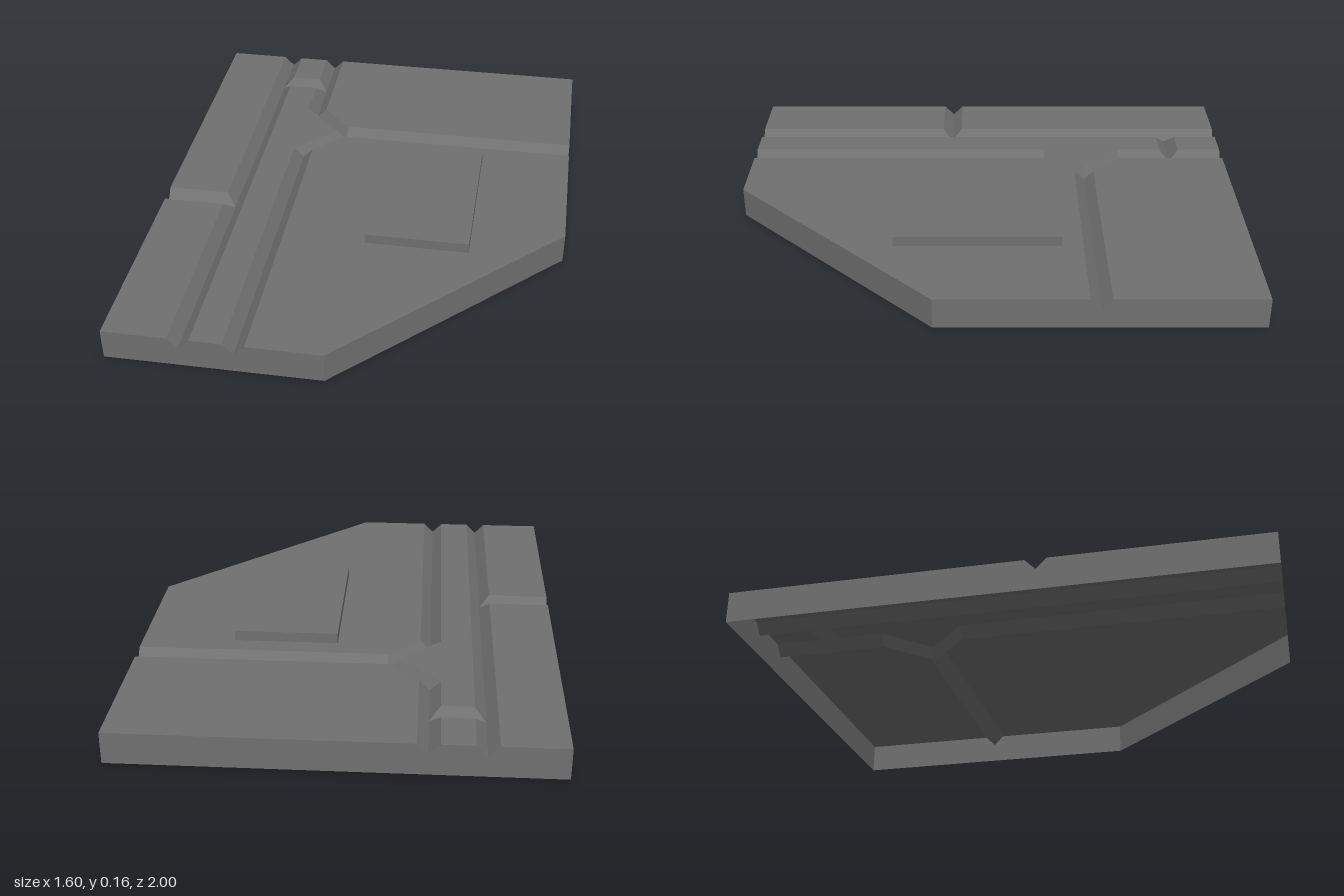
import * as THREE from 'three';

const TOP = 0.12, VALLEY = 0.08;

// Each deck section runs counter-clockwise seen from above.
// rim: [x, z, valleyX, valleyZ] points beside a groove; edge: remaining points on the outer border.
const SECTIONS = {
  leftBackDeck: {
    rim: [[-0.8, 0.12, -0.8, 0.16], [-0.56, 0.12, -0.52, 0.16], [-0.56, -1, -0.52, -1]],
    edge: [[-0.8, -1]],
  },
  leftFrontDeck: {
    rim: [[-0.56, 1, -0.52, 1], [-0.56, 0.2, -0.52, 0.16], [-0.8, 0.2, -0.8, 0.16]],
    edge: [[-0.8, 1]],
  },
  middleBackDeck: {
    rim: [[-0.48, -1, -0.52, -1], [-0.48, -0.82, -0.52, -0.78],
      [-0.36, -0.82, -0.32, -0.78], [-0.36, -1, -0.32, -1]],
    edge: [],
  },
  middleFrontDeck: {
    rim: [[-0.36, 1, -0.32, 1], [-0.36, -0.24, -0.32, -0.24], [-0.2, -0.4, -0.16, -0.4],
      [-0.36, -0.56, -0.32, -0.56], [-0.36, -0.74, -0.32, -0.78],
      [-0.48, -0.74, -0.52, -0.78], [-0.48, 1, -0.52, 1]],
    edge: [],
  },
  rightBackDeck: {
    rim: [[-0.28, -1, -0.32, -1], [-0.28, -0.56, -0.32, -0.56],
      [-0.16, -0.44, -0.16, -0.4], [0.8, -0.44, 0.8, -0.4]],
    edge: [[0.8, -1]],
  },
  rightFrontDeck: {
    rim: [[0.8, -0.36, 0.8, -0.4], [-0.16, -0.36, -0.16, -0.4],
      [-0.28, -0.24, -0.32, -0.24], [-0.28, 1, -0.32, 1]],
    edge: [[0, 1], [0.8, 0.2]],
  },
};

// Flat top, sloping groove sides and outer walls of one section; open underneath.
function sectionGeometry({ rim, edge }) {
  const positions = [];
  const tri = (...points) => points.forEach((p) => positions.push(...p));
  const strip = (upper, lower) => {
    for (let i = 0; i < upper.length - 1; i++) {
      tri(upper[i], lower[i], lower[i + 1]);
      tri(upper[i], lower[i + 1], upper[i + 1]);
    }
  };

  const rimTop = rim.map(([x, z]) => [x, TOP, z]);
  const valley = rim.map(([, , x, z]) => [x, VALLEY, z]);
  const edgeTop = edge.map(([x, z]) => [x, TOP, z]);

  // flat top
  const outline = [...rimTop, ...edgeTop];
  const flat = outline.map(([x, , z]) => new THREE.Vector2(x, -z));
  for (const face of THREE.ShapeUtils.triangulateShape(flat, [])) {
    tri(...face.map((i) => outline[i]));
  }

  // groove sides
  strip(rimTop, valley);

  // outer walls, notched where grooves run out
  const wall = [valley.at(-1), rimTop.at(-1), ...edgeTop, rimTop[0], valley[0]];
  strip(wall, wall.map(([x, , z]) => [x, 0, z]));

  const geometry = new THREE.BufferGeometry();
  geometry.setAttribute('position', new THREE.Float32BufferAttribute(positions, 3));
  geometry.computeVertexNormals();
  return geometry;
}

export function createModel() {
  const group = new THREE.Group();
  group.name = 'groovedPlate';
  const material = new THREE.MeshStandardMaterial({
    color: 0x707070, flatShading: true, side: THREE.DoubleSide,
  });

  for (const [name, section] of Object.entries(SECTIONS)) {
    const deck = new THREE.Mesh(sectionGeometry(section), material);
    deck.name = name;
    group.add(deck);
  }

  // raised rectangular pad
  const pad = new THREE.Mesh(new THREE.BoxGeometry(0.4, 0.04, 0.64), material);
  pad.name = 'raisedPad';
  pad.position.set(0.24, TOP + 0.02, 0.04);
  group.add(pad);

  return group;
}
